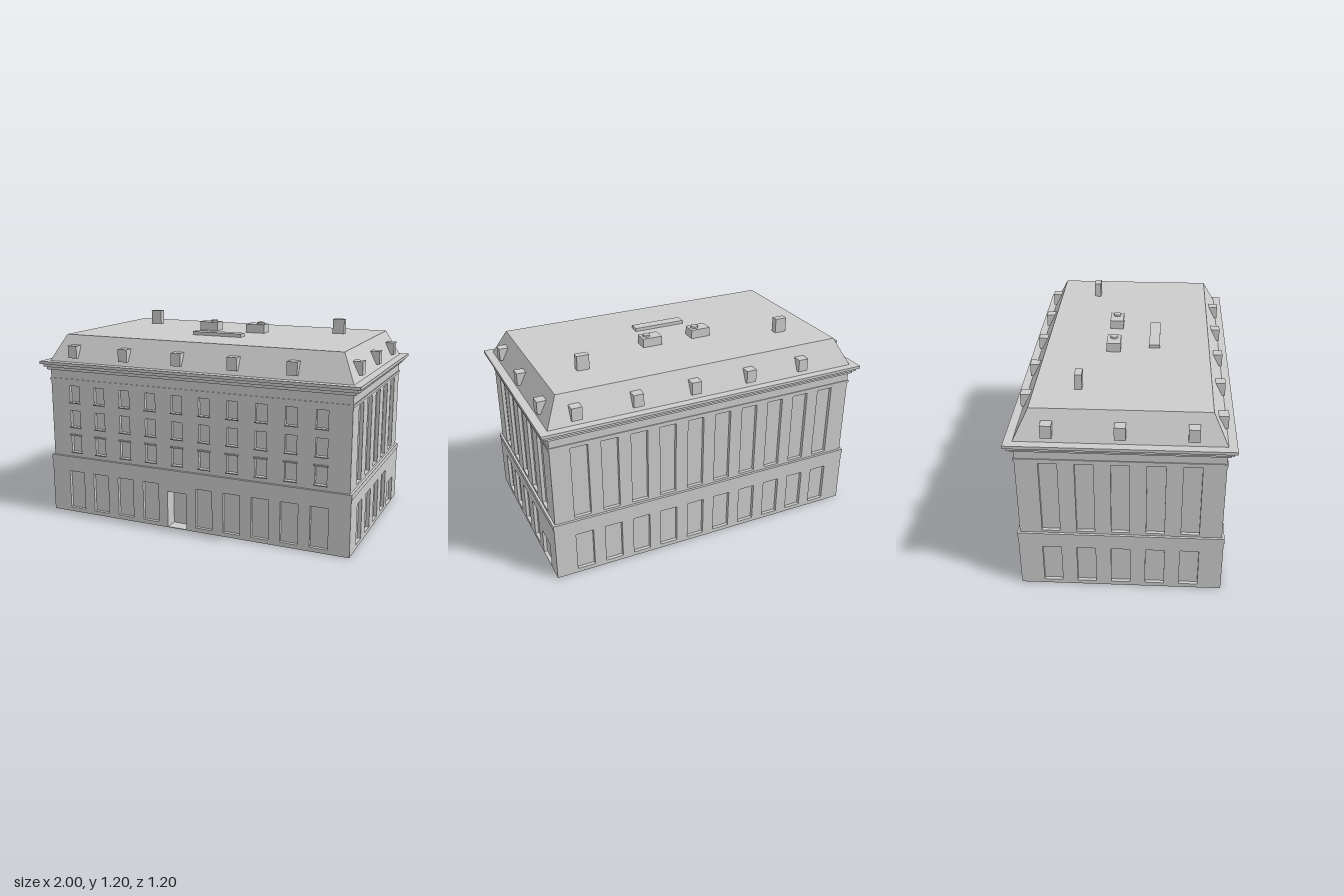
import * as THREE from 'three';
import { mergeGeometries } from 'three/addons/utils/BufferGeometryUtils.js';

const stone = new THREE.MeshStandardMaterial({ color: 0xcccccc, side: THREE.DoubleSide });
stone.name = 'stone grey';

function add(parent, name, geometry) {
  const mesh = new THREE.Mesh(geometry, stone);
  mesh.name = name;
  parent.add(mesh);
  return mesh;
}

// Box given by its limits on each axis
function box(x0, x1, y0, y1, z0, z1) {
  return new THREE.BoxGeometry(x1 - x0, y1 - y0, z1 - z0)
    .translate((x0 + x1) / 2, (y0 + y1) / 2, (z0 + z1) / 2);
}

// Remove one face of a box: 0 +x, 1 -x, 2 +y, 3 -y, 4 +z, 5 -z
function openFace(geometry, face) {
  geometry.setIndex(Array.from(geometry.index.array).filter((_, i) => Math.floor(i / 6) !== face));
  geometry.clearGroups();
  return geometry;
}

function rectangle(target, x0, x1, y0, y1) {
  target.moveTo(x0, y0);
  target.lineTo(x1, y0);
  target.lineTo(x1, y1);
  target.lineTo(x0, y1);
  target.closePath();
  return target;
}

// Horizontal moulding running round the building
function band(parent, name, hx, hz, y0, y1) {
  const shape = rectangle(new THREE.Shape(), -hx, hx, -hz, hz);
  shape.holes.push(rectangle(new THREE.Path(), -0.95, 0.95, -0.553, 0.553));
  const geometry = new THREE.ExtrudeGeometry(shape, { depth: y1 - y0, bevelEnabled: false });
  add(parent, name, geometry.rotateX(-Math.PI / 2).translate(0, y0, 0));
}

// Thin wall in the xy plane facing +z, with recessed openings
function wall(name, halfWidth, y0, y1, openings) {
  const group = new THREE.Group();
  group.name = name;
  const shape = rectangle(new THREE.Shape(), -halfWidth, halfWidth, y0, y1);
  const recesses = [];
  for (const { x, w, bottom, top, depth = 0.02 } of openings) {
    shape.holes.push(rectangle(new THREE.Path(), x - w / 2, x + w / 2, bottom, top));
    recesses.push(openFace(box(x - w / 2, x + w / 2, bottom, top, -depth, 0), 4));
  }
  add(group, 'wallFace', new THREE.ShapeGeometry(shape));
  add(group, 'windowRecesses', mergeGeometries(recesses));
  return group;
}

const columns = (count, step) => Array.from({ length: count }, (_, i) => (i - (count - 1) / 2) * step);
const row = (xs, w, bottom, top) => xs.map((x) => ({ x, w, bottom, top }));

export function createModel() {
  const model = new THREE.Group();
  model.name = 'building';

  const longXs = columns(10, 0.175);
  const shortXs = columns(5, 0.191);
  const place = (group, angle, distance) => {
    group.rotation.y = angle;
    group.position.set(Math.sin(angle) * distance, 0, Math.cos(angle) * distance);
    model.add(group);
    return group;
  };

  // Ground floor
  const base = (xs) => row(xs, 0.105, 0.025, 0.265);
  const frontBase = base(longXs);
  frontBase[4] = { x: longXs[4], w: 0.125, bottom: 0.004, top: 0.225, depth: 0.08 };
  const rightBase = base(shortXs);
  rightBase[4] = { x: shortXs[4], w: 0.147, bottom: 0.004, top: 0.16 };
  place(wall('frontBaseWall', 0.964, 0, 0.36, frontBase), 0, 0.567);
  place(wall('backBaseWall', 0.964, 0, 0.36, base(longXs)), Math.PI, 0.567);
  place(wall('leftBaseWall', 0.567, 0, 0.36, rightBase), Math.PI / 2, 0.964);
  place(wall('rightBaseWall', 0.567, 0, 0.36, base(shortXs)), -Math.PI / 2, 0.964);

  // Upper floors: three rows at the front, tall windows elsewhere
  const tall = (xs) => row(xs, 0.1, 0.375, 0.822);
  const frontRows = [[0.39, 0.495], [0.55, 0.652], [0.705, 0.808]];
  const frontWindows = frontRows.flatMap(([bottom, top]) => row(longXs, 0.068, bottom, top));
  const front = place(wall('frontUpperWall', 0.953, 0.36, 0.955, frontWindows), 0, 0.556);
  place(wall('backUpperWall', 0.953, 0.36, 0.955, tall(longXs)), Math.PI, 0.556);
  place(wall('leftUpperWall', 0.556, 0.36, 0.955, tall(shortXs)), Math.PI / 2, 0.953);
  place(wall('rightUpperWall', 0.556, 0.36, 0.955, tall(shortXs)), -Math.PI / 2, 0.953);

  // Sills under every front window, hoods over the lowest row
  for (const x of longXs) {
    for (const [bottom] of frontRows) add(front, 'sill', box(x - 0.039, x + 0.039, bottom - 0.006, bottom, -0.002, 0.008));
    add(front, 'windowHood', box(x - 0.041, x + 0.041, 0.496, 0.504, -0.002, 0.01));
  }

  // Mouldings and stepped cornice
  band(model, 'baseLedge', 0.967, 0.57, 0.33, 0.36);
  band(model, 'upperMoulding', 0.958, 0.561, 0.835, 0.85);
  band(model, 'lowerCornice', 0.969, 0.572, 0.902, 0.92);
  band(model, 'middleCornice', 0.985, 0.587, 0.92, 0.938);
  band(model, 'topCornice', 1.0, 0.602, 0.938, 0.955);

  // Sloping roof with a flat top
  const roof = openFace(box(-0.953, 0.953, 0.955, 1.112, -0.556, 0.556), 3);
  const p = roof.attributes.position;
  for (let i = 0; i < p.count; i++) {
    if (p.getY(i) > 1) p.setXYZ(i, Math.sign(p.getX(i)) * 0.875, 1.112, Math.sign(p.getZ(i)) * 0.477);
  }
  roof.computeVertexNormals();
  add(model, 'roof', roof);

  // Dormers on all four slopes
  for (let i = 0; i < 5; i++) {
    const x = longXs[2 * i];
    add(model, 'frontDormer', box(x - 0.03, x + 0.03, 0.98, 1.055, 0.502, 0.56));
    add(model, 'backDormer', box(-x - 0.03, -x + 0.03, 0.98, 1.055, -0.56, -0.502));
  }
  for (const z of columns(3, 0.38)) {
    add(model, 'leftDormer', box(0.9, 0.958, 0.98, 1.055, z - 0.03, z + 0.03));
    add(model, 'rightDormer', box(-0.958, -0.9, 0.98, 1.055, z - 0.03, z + 0.03));
  }

  // Chimneys, ventilation units and rooftop slab
  for (const s of [-1, 1]) {
    add(model, 'chimney', box(s * 0.638 - 0.036, s * 0.638 + 0.036, 1.11, 1.2, -0.258, -0.218));
  }
  for (const x of [-0.16, 0.156]) {
    add(model, 'ventUnit', box(x - 0.06, x + 0.06, 1.11, 1.165, -0.12, -0.04));
    add(model, 'ventCap', new THREE.CylinderGeometry(0.024, 0.024, 0.012, 6).rotateY(Math.PI / 6).translate(x + 0.023, 1.17, -0.08));
  }
  add(model, 'roofSlab', box(-0.16, 0.157, 1.11, 1.132, 0.126, 0.188));

  return model;
}
